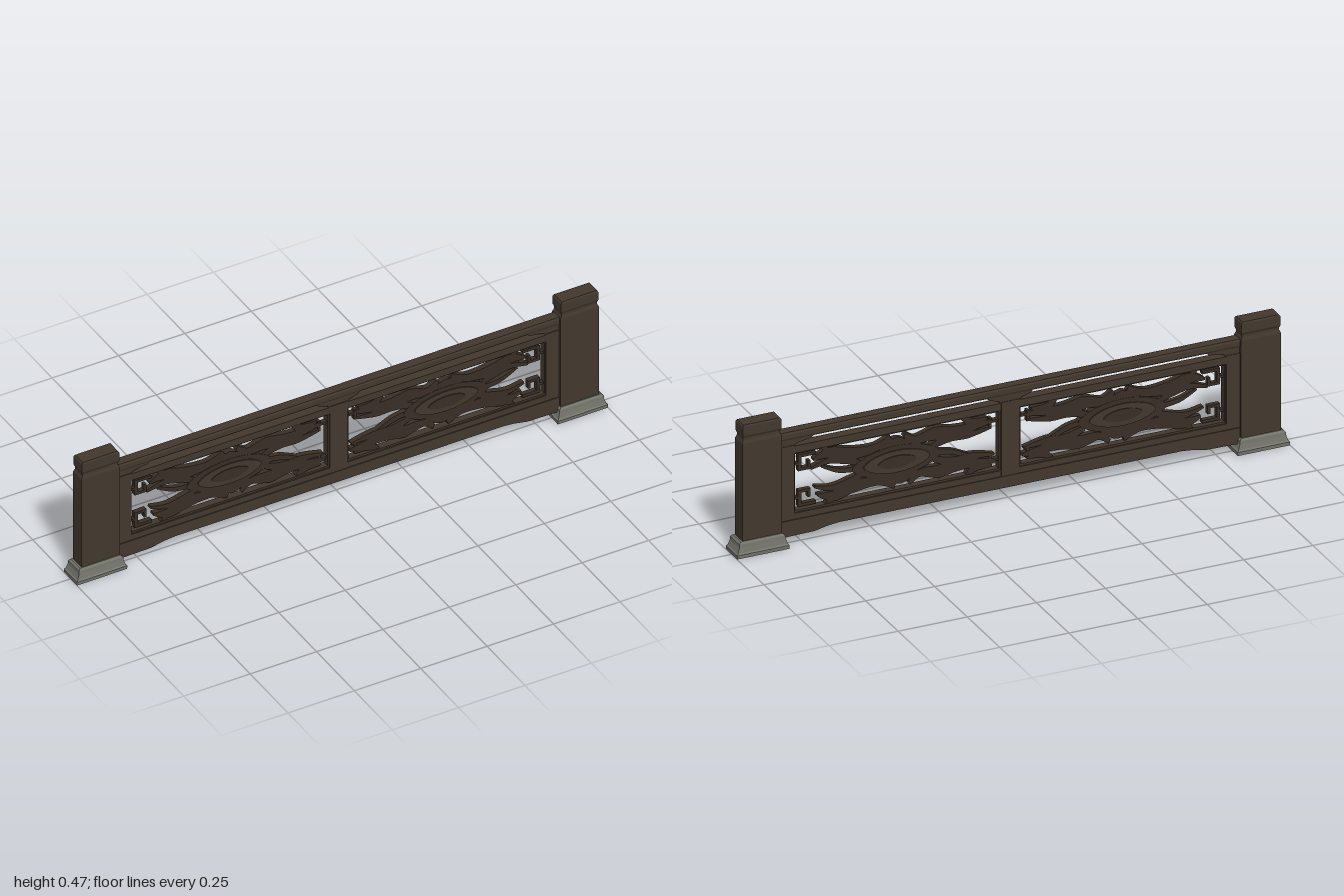
import * as THREE from 'three';

const wood = new THREE.MeshStandardMaterial({ color: 0x42372d });
wood.name = 'darkWood';
const carved = new THREE.MeshStandardMaterial({ color: 0x392f26 });
carved.name = 'carvedWood';
const stone = new THREE.MeshStandardMaterial({ color: 0x74756c });
stone.name = 'greyStone';

function add(parent, name, geometry, material, x = 0, y = 0, z = 0) {
  const mesh = new THREE.Mesh(geometry, material);
  mesh.name = name;
  mesh.position.set(x, y, z);
  parent.add(mesh);
  return mesh;
}

// Box given by its x and y limits, centred on z = 0
function bar(parent, name, x0, x1, y0, y1, depth, material = wood) {
  return add(parent, name, new THREE.BoxGeometry(x1 - x0, y1 - y0, depth), material, (x0 + x1) / 2, (y0 + y1) / 2);
}

// Stack of rectangular sections [y, half width, half depth], flat shaded
function loft(sections) {
  const pos = [];
  const rings = sections.map(([y, w, d]) => [[-w, y, d], [w, y, d], [w, y, -d], [-w, y, -d]]);
  const quad = (a, b, c, d) => pos.push(...a, ...b, ...c, ...a, ...c, ...d);
  for (let i = 0; i + 1 < rings.length; i++) {
    for (let k = 0; k < 4; k++) {
      const n = (k + 1) % 4;
      quad(rings[i][k], rings[i][n], rings[i + 1][n], rings[i + 1][k]);
    }
  }
  const [b, t] = [rings[0], rings[rings.length - 1]];
  quad(b[3], b[2], b[1], b[0]);
  quad(t[0], t[1], t[2], t[3]);
  const g = new THREE.BufferGeometry();
  g.setAttribute('position', new THREE.Float32BufferAttribute(pos, 3));
  g.computeVertexNormals();
  return g;
}

// Flat outline extruded symmetrically about z = 0
function slab(points, depth) {
  const shape = new THREE.Shape(points.map(([x, y]) => new THREE.Vector2(x, y)));
  const g = new THREE.ExtrudeGeometry(shape, { depth, bevelEnabled: false });
  g.translate(0, 0, -depth / 2);
  return g;
}

// Carved strand: follows a spline, fattest where the widths say so
function strand(path, widths, depth) {
  const curve = new THREE.SplineCurve(path.map(([x, y]) => new THREE.Vector2(x, y)));
  const left = [], right = [], n = 18;
  for (let i = 0; i <= n; i++) {
    const t = i / n, p = curve.getPoint(t), d = curve.getTangent(t);
    const f = t * (widths.length - 1), k = Math.min(Math.floor(f), widths.length - 2);
    const w = THREE.MathUtils.lerp(widths[k], widths[k + 1], f - k);
    left.push([p.x - d.y * w, p.y + d.x * w]);
    right.unshift([p.x + d.y * w, p.y - d.x * w]);
  }
  return slab([...left, ...right], depth);
}

// Pointed medallion outline
function lens(w, h) {
  const pts = [];
  for (let i = 0; i < 28; i++) {
    const a = (i / 28) * Math.PI * 2, s = Math.sin(a);
    pts.push([w * Math.cos(a), h * Math.sign(s) * Math.pow(Math.abs(s), 1.25)]);
  }
  return pts;
}

// Openwork for one bay: local x runs from the outer side (-) to the centre (+)
function openwork() {
  const g = new THREE.Group();
  g.name = 'openworkPanel';

  // Central medallion with raised layers
  add(g, 'medallion', slab(lens(0.16, 0.056), 0.022), carved);
  add(g, 'medallionRim', slab(lens(0.12, 0.04), 0.03), wood);
  add(g, 'medallionHeart', slab(lens(0.07, 0.022), 0.036), carved);

  // Scrolling leaves, repeated above and below
  const strands = [
    ['outerLeaf', [[-0.3, 0.066], [-0.24, 0.08], [-0.17, 0.06], [-0.08, 0.062], [-0.02, 0.09]], [0.004, 0.02, 0.024, 0.014, 0.01]],
    ['innerLeaf', [[0.03, 0.09], [0.07, 0.062], [0.14, 0.07], [0.22, 0.062], [0.345, 0.074]], [0.008, 0.014, 0.024, 0.02, 0.006]],
    ['outerTendril', [[-0.31, 0.035], [-0.25, 0.05], [-0.19, 0.042], [-0.13, 0.018]], [0.004, 0.01, 0.014, 0.008]],
    ['innerTendril', [[0.12, 0.022], [0.19, 0.044], [0.26, 0.04], [0.34, 0.05]], [0.01, 0.016, 0.012, 0.004]],
    ['crownLeaf', [[-0.06, 0.045], [0, 0.066], [0.06, 0.045]], [0.008, 0.02, 0.008]],
    ['topSprig', [[-0.27, 0.108], [-0.24, 0.085], [-0.2, 0.08]], [0.006, 0.01, 0.006]],
    ['endSprig', [[0.24, 0.108], [0.27, 0.085], [0.33, 0.088]], [0.008, 0.014, 0.004]],
  ];
  for (const side of [1, -1]) {
    for (const [name, path, widths] of strands) {
      const shift = side < 0 ? 0.015 : 0;
      add(g, name, strand(path.map(([x, y]) => [x + shift, y * side]), widths, 0.02), carved);
    }
    // Square fretwork in the corners
    const fret = (x0, x1, y0, y1) => bar(g, 'cornerFret', x0, x1, Math.min(y0 * side, y1 * side), Math.max(y0 * side, y1 * side), 0.018, carved);
    fret(-0.355, -0.343, 0.035, 0.095);
    fret(-0.355, -0.29, 0.084, 0.095);
    fret(-0.355, -0.31, 0.035, 0.045);
    fret(-0.32, -0.31, 0.035, 0.066);
    fret(-0.378, -0.343, 0.058, 0.066);
    fret(0.335, 0.345, 0.045, 0.085);
    fret(0.335, 0.378, 0.066, 0.075);
  }
  // Stems joining the medallion to the frame
  add(g, 'outerStem', strand([[-0.15, 0], [-0.21, 0.008], [-0.27, 0.035]], [0.01, 0.008, 0.004], 0.018), carved);
  add(g, 'innerStem', strand([[0.15, 0], [0.2, -0.01], [0.27, -0.038]], [0.01, 0.01, 0.005], 0.018), carved);

  // Thin inner frame
  bar(g, 'innerFrameOuter', -0.38, -0.369, -0.112, 0.112, 0.026);
  bar(g, 'innerFrameInner', 0.369, 0.38, -0.112, 0.112, 0.026);
  bar(g, 'innerFrameTop', -0.38, 0.38, 0.103, 0.112, 0.026);
  bar(g, 'innerFrameBottom', -0.38, 0.38, -0.112, -0.103, 0.026);
  return g;
}

export function createModel() {
  const model = new THREE.Group();
  model.name = 'balustrade';

  const postGeometry = loft([
    [0.045, 0.072, 0.028], [0.408, 0.072, 0.028], [0.42, 0.067, 0.024], [0.428, 0.067, 0.024],
    [0.436, 0.07, 0.028], [0.469, 0.07, 0.028], [0.475, 0.066, 0.025],
  ]);
  const baseGeometry = loft([
    [0, 0.094, 0.043], [0.013, 0.095, 0.044], [0.018, 0.09, 0.04], [0.035, 0.084, 0.037],
    [0.048, 0.083, 0.036], [0.055, 0.076, 0.031],
  ]);

  for (const s of [-1, 1]) {
    // End post on its stone foot
    add(model, 'post', postGeometry, wood, s * 0.902);
    add(model, 'postBase', baseGeometry, stone, s * 0.905);

    // Stile against the post, and the bracket under the handrail
    bar(model, 'sideStile', s * 0.807 - 0.026, s * 0.807 + 0.026, 0.08, 0.36, 0.036);
    const bracket = [[0.84, 0.39], [0.70, 0.39], [0.72, 0.374], [0.77, 0.366], [0.79, 0.35], [0.84, 0.35]];
    add(model, 'endBracket', slab(bracket.map(([x, y]) => [x * s, y]), 0.032), wood);

    // Carved bay
    const panel = openwork();
    panel.position.set(s * 0.408, 0.222, 0);
    if (s > 0) panel.rotation.y = Math.PI;
    model.add(panel);
  }

  // Rails
  add(model, 'handrail', loft([[0.383, 0.84, 0.018], [0.389, 0.84, 0.021], [0.405, 0.84, 0.021], [0.411, 0.84, 0.017]]), wood);
  bar(model, 'upperRail', -0.84, 0.84, 0.33, 0.357, 0.036);
  bar(model, 'lowerRail', -0.84, 0.84, 0.088, 0.112, 0.036);
  const apron = [
    [-0.84, 0.09], [-0.84, 0.032], [-0.71, 0.034], [-0.66, 0.044], [-0.62, 0.048],
    [0.62, 0.048], [0.66, 0.044], [0.71, 0.034], [0.84, 0.032], [0.84, 0.09],
  ];
  add(model, 'bottomApron', slab(apron, 0.042), wood);

  // Middle stile with its cup bracket
  bar(model, 'middleStile', -0.033, 0.033, 0.08, 0.36, 0.038);
  add(model, 'middleBracket', slab([[-0.085, 0.388], [-0.075, 0.374], [-0.04, 0.364], [-0.035, 0.35],
    [0.035, 0.35], [0.04, 0.364], [0.075, 0.374], [0.085, 0.388]], 0.034), wood);

  return model;
}
